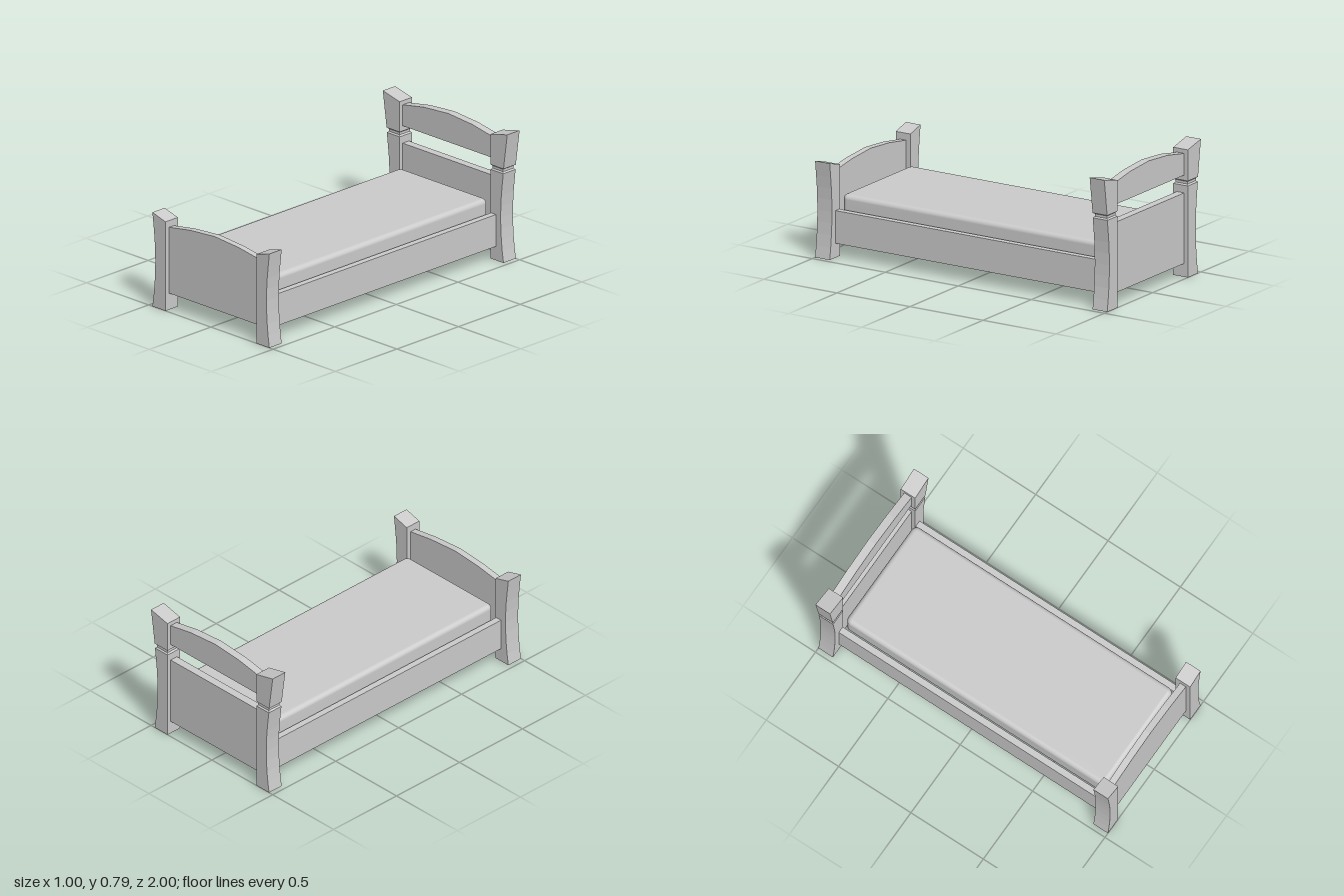
import * as THREE from 'three';

const flat = new THREE.MeshStandardMaterial({ color: 0xcccccc, flatShading: true });
const smooth = new THREE.MeshStandardMaterial({ color: 0xcccccc, side: THREE.DoubleSide });

// Skins a stack of equal-length rings (counterclockwise from above), bottom to top.
function loft(rings, closeBottom) {
  const n = rings[0].length;
  const pos = rings.flat(2);
  const idx = [];
  for (let r = 0; r < rings.length - 1; r++) {
    for (let i = 0; i < n; i++) {
      const a = r * n + i, b = r * n + (i + 1) % n;
      idx.push(a, b, b + n, a, b + n, a + n);
    }
  }
  const top = (rings.length - 1) * n;
  for (let i = 1; i < n - 1; i++) {
    idx.push(top, top + i, top + i + 1);
    if (closeBottom) idx.push(0, i + 1, i);
  }
  const geo = new THREE.BufferGeometry();
  geo.setAttribute('position', new THREE.Float32BufferAttribute(pos, 3));
  geo.setIndex(idx);
  geo.computeVertexNormals();
  return geo;
}

// Four-cornered post section; the inner and outer edges may differ in height.
const section = (xi, xo, yi, yo = yi, h = 0.05) =>
  [[xi, yi, h], [xo, yo, h], [xo, yo, -h], [xi, yi, -h]];

// Post shaft whose outer face bows inward.
function shaft(height) {
  const rings = [];
  for (let i = 0; i < 8; i++) {
    const t = i / 8;
    rings.push(section(0.365, 0.47 - 0.023 * 4 * t * (1 - t), t * height));
  }
  return rings;
}

// Rounded rectangle ring for the mattress.
function roundedRing(hx, hz, radius, y) {
  const ring = [];
  const corners = [[1, -1], [-1, -1], [-1, 1], [1, 1]];
  corners.forEach(([sx, sz], c) => {
    for (let i = 0; i <= 6; i++) {
      const a = (c + i / 6) * Math.PI / 2;
      ring.push([sx * (hx - radius) + radius * Math.cos(a), y, sz * (hz - radius) - radius * Math.sin(a)]);
    }
  });
  return ring;
}

// Board between the posts with a gently arched top edge.
function archedBoard(bottom, end, shoulder, crown, depth) {
  const s = new THREE.Shape();
  s.moveTo(-0.37, bottom);
  s.lineTo(0.37, bottom);
  s.lineTo(0.37, end);
  s.lineTo(0.195, shoulder);
  s.lineTo(0, crown);
  s.lineTo(-0.195, shoulder);
  s.lineTo(-0.37, end);
  s.closePath();
  return new THREE.ExtrudeGeometry(s, { depth, bevelEnabled: false }).translate(0, 0, -depth / 2);
}

export function createModel() {
  const bed = new THREE.Group();
  bed.name = 'bed';
  const add = (name, geo, x, y, z, mat = flat) => {
    const mesh = new THREE.Mesh(geo, mat);
    mesh.name = name;
    mesh.position.set(x, y, z);
    bed.add(mesh);
    return mesh;
  };

  // Posts: short ones at the foot, necked ones with flared heads at the head end
  const footPost = loft([...shaft(0.56), section(0.365, 0.47, 0.545, 0.575)], true);
  const headPost = loft([
    ...shaft(0.545),
    section(0.365, 0.468, 0.545),
    section(0.374, 0.459, 0.553, 0.553, 0.042),
    section(0.374, 0.459, 0.568, 0.568, 0.042),
    section(0.365, 0.47, 0.575),
    section(0.365, 0.5, 0.76, 0.792),
  ], true);
  const sideRail = new THREE.BoxGeometry(0.04, 0.195, 1.8);

  for (const [side, s] of [['left', 1], ['right', -1]]) {
    add(side + 'FootPost', footPost, 0, 0, 0.95).scale.x = s;
    add(side + 'HeadPost', headPost, 0, 0, -0.95).scale.x = s;
    add(side + 'SideRail', sideRail, s * 0.39, 0.1825, 0);
  }

  // End boards
  add('footboard', archedBoard(0.1, 0.503, 0.531, 0.546, 0.04), 0, 0, 0.95);
  add('headboardPanel', new THREE.BoxGeometry(0.74, 0.42, 0.05), 0, 0.29, -0.95);
  add('headboardTopRail', archedBoard(0.606, 0.734, 0.766, 0.781, 0.05), 0, 0, -0.95);

  // Mattress shell, open underneath, with a rolled top edge
  const rings = [roundedRing(0.355, 0.895, 0.035, 0.25)];
  for (let i = 0; i <= 6; i++) {
    const a = i / 6 * Math.PI / 2;
    const inset = 0.028 * (1 - Math.cos(a));
    rings.push(roundedRing(0.355 - inset, 0.895 - inset, 0.035 - inset, 0.337 + 0.028 * Math.sin(a)));
  }
  add('mattress', loft(rings, false), 0, 0, 0, smooth);

  return bed;
}
